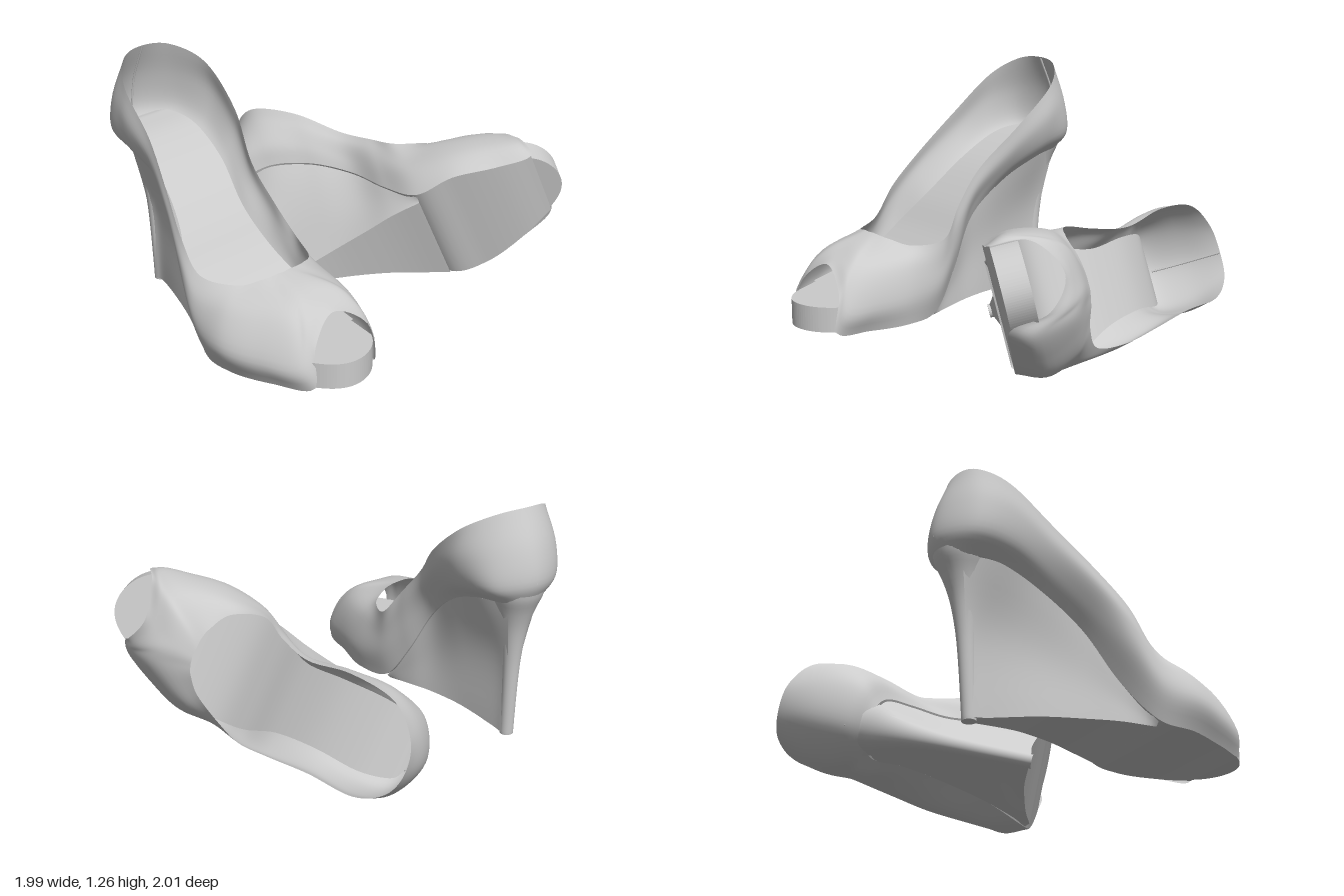
import * as THREE from 'three';
import { mergeGeometries } from 'three/addons/utils/BufferGeometryUtils.js';

const material = new THREE.MeshStandardMaterial({ color: 0xcccccc, side: THREE.DoubleSide });

// Stations run from heel to toe as [z, y, outer x, inner x].
const UPPER = {
  bottom: [[-.655, .79, 0, 0], [-.60, .785, -.11, .11], [-.42, .765, -.15, .16], [-.2, .67, -.16, .15],
    [0, .5, -.2, .13], [.15, .25, -.27, .17], [.3, .06, -.36, .21], [.5, .04, -.37, .25],
    [.72, .04, -.29, .21], [.9, .06, -.2, .185], [.87, .25, -.165, .165], [.82, .36, -.01, -.01]],
  lower: [[-.70, .90, 0, 0], [-.61, .88, -.19, .19], [-.42, .85, -.235, .245], [-.2, .75, -.23, .21],
    [0, .58, -.275, .16], [.15, .38, -.36, .205], [.3, .2, -.41, .25], [.5, .18, -.425, .275],
    [.69, .17, -.35, .255], [.85, .18, -.25, .215], [.80, .345, -.16, .145], [.76, .395, -.02, -.02]],
  upper: [[-.67, 1.07, 0, 0], [-.59, 1.05, -.19, .19], [-.42, 1.0, -.26, .285], [-.2, .86, -.275, .26],
    [0, .68, -.33, .2], [.15, .5, -.38, .22], [.29, .33, -.395, .25], [.47, .34, -.36, .245],
    [.63, .355, -.275, .21], [.73, .37, -.2, .16], [.70, .42, -.12, .09], [.66, .44, -.04, -.04]],
  top: [[-.59, 1.26, 0, 0], [-.55, 1.24, -.14, .15], [-.42, 1.15, -.235, .265], [-.2, .97, -.265, .265],
    [0, .77, -.32, .2], [.15, .6, -.36, .215], [.27, .45, -.35, .25], [.43, .43, -.26, .19],
    [.5, .455, -.17, .09], [.52, .465, -.12, .03], [.525, .47, -.09, -.02], [.53, .47, -.06, -.06]],
};
const INSOLE = [[-.63, .87, -.1, .1], [-.58, .87, -.16, .16], [-.42, .84, -.195, .19], [-.2, .73, -.2, .175],
  [0, .555, -.25, .14], [.15, .38, -.345, .185], [.3, .25, -.385, .24], [.5, .19, -.39, .25], [.72, .19, -.29, .215]];
const WEDGE = {
  top: [[-.6, .8, -.1, .1], [-.42, .765, -.15, .15], [-.2, .67, -.16, .14], [0, .5, -.2, .12],
    [.15, .25, -.27, .16], [.3, .05, -.36, .2]],
  middle: [[-.54, .42, -.04, .04], [-.43, .43, -.05, .05], [-.2, .37, -.11, .08], [0, .27, -.19, .1],
    [.15, .15, -.27, .15], [.3, .04, -.35, .19]],
  bottom: [[-.5, .01, -.035, .035], [-.42, .02, -.045, .04], [-.2, .045, -.13, .07], [0, .05, -.21, .11],
    [.15, .045, -.28, .15], [.3, .03, -.34, .18]],
};

// One side of a station list as points; column 2 is outer, 3 is inner.
const side = (list, column, s) => list.map((p) => new THREE.Vector3(p[column] * s, p[1], p[0]));

// Smooth surface through a set of matching curves.
function loft(rows, nu, nv, closed = false) {
  const curves = rows.map((r) => new THREE.CatmullRomCurve3(r, closed, 'catmullrom', 0.5));
  const positions = [], index = [], uvs = [];
  for (let i = 0; i <= nu; i++) {
    const across = new THREE.CatmullRomCurve3(curves.map((c) => c.getPoint(i / nu)), false, 'catmullrom', 0.5);
    for (let j = 0; j <= nv; j++) {
      positions.push(...across.getPoint(j / nv).toArray());
      uvs.push(i / nu, j / nv);
      if (i < nu && j < nv) {
        const a = i * (nv + 1) + j, b = closed && i === nu - 1 ? j : a + nv + 1;
        index.push(a, b, a + 1, b, b + 1, a + 1);
      }
    }
  }
  const geometry = new THREE.BufferGeometry();
  geometry.setAttribute('position', new THREE.Float32BufferAttribute(positions, 3));
  geometry.setAttribute('uv', new THREE.Float32BufferAttribute(uvs, 2));
  geometry.setIndex(index);
  geometry.computeVertexNormals();
  return geometry;
}

// s = 1 puts the outer side of the foot at -x, s = -1 mirrors it.
function createShoe(s) {
  const shoe = new THREE.Group();
  const add = (name, geometry) => {
    const mesh = new THREE.Mesh(geometry, material);
    mesh.name = name;
    shoe.add(mesh);
  };
  const ribbon = (list, nu) => loft([side(list, 2, s), side(list, 3, s)], nu, 4);

  // Upper: rings from the sole edge to the topline, leaving the toe open
  const ring = (list) => [...side(list, 2, s), ...side(list.slice(1, -1).reverse(), 3, s)];
  add('upper', loft(Object.values(UPPER).map(ring), 176, 16, true));

  add('insole', ribbon(INSOLE, 48));
  add('outsole', ribbon(UPPER.bottom.slice(0, 10), 54));

  // Toe platform showing through the open toe
  const outline = new THREE.Shape();
  outline.moveTo(-.35 * s, .5);
  outline.lineTo(-.27 * s, .72);
  outline.lineTo(-.195 * s, .88);
  outline.bezierCurveTo(-.14 * s, .97, -.08 * s, 1, -.02 * s, 1);
  outline.bezierCurveTo(.06 * s, 1, .14 * s, .95, .18 * s, .88);
  outline.lineTo(.2 * s, .72);
  outline.lineTo(.24 * s, .5);
  const platform = new THREE.ExtrudeGeometry(outline, { depth: .13, bevelEnabled: false, curveSegments: 16 });
  platform.rotateX(Math.PI / 2).translate(0, .19, 0);
  add('toePlatform', platform);

  // Wedge: concave side walls and a triangular base
  const walls = [2, 3].map((c) => loft([WEDGE.top, WEDGE.middle, WEDGE.bottom].map((l) => side(l, c, s)), 32, 12));
  add('wedge', mergeGeometries([...walls, ribbon(WEDGE.bottom, 32)]));

  // Rounded heel stem flaring into the heel cup
  const profile = [[.035, 0], [.036, .1], [.04, .3], [.048, .45], [.068, .6], [.098, .71], [.13, .79], [.14, .83]]
    .map(([r, y]) => new THREE.Vector2(r, y));
  const points = new THREE.SplineCurve(profile).getPoints(24);
  const stem = new THREE.LatheGeometry([new THREE.Vector2(0, 0), new THREE.Vector2(.034, 0), ...points], 28);
  const position = stem.attributes.position;
  for (let i = 0; i < position.count; i++) {
    const y = position.getY(i);
    position.setZ(i, position.getZ(i) - .5 - .04 * y / .8);
  }
  stem.computeVertexNormals();
  add('heelStem', stem);

  // Seam down the inside of the heel
  const seam = [UPPER.lower, UPPER.upper, UPPER.top]
    .map((l) => new THREE.Vector3(0, l[0][1] - .005, l[0][0] + .004));
  add('backSeam', new THREE.TubeGeometry(new THREE.CatmullRomCurve3(seam), 16, .005, 6));
  return shoe;
}

export function createModel() {
  const model = new THREE.Group();

  // Right shoe stands upright
  const right = createShoe(1);
  right.name = 'rightShoe';
  right.position.set(-.57, 0, 0);

  // Left shoe lies on its outer side
  const left = createShoe(-1);
  left.name = 'leftShoe';
  const up = new THREE.Vector3(.543, .228, -.808).normalize();
  const across = up.clone().cross(new THREE.Vector3(.725, .375, .58)).normalize();
  const forward = across.clone().cross(up);
  left.quaternion.setFromRotationMatrix(new THREE.Matrix4().makeBasis(across, up, forward));
  left.position.set(.142, .23, .36);

  model.add(right, left);
  return model;
}
